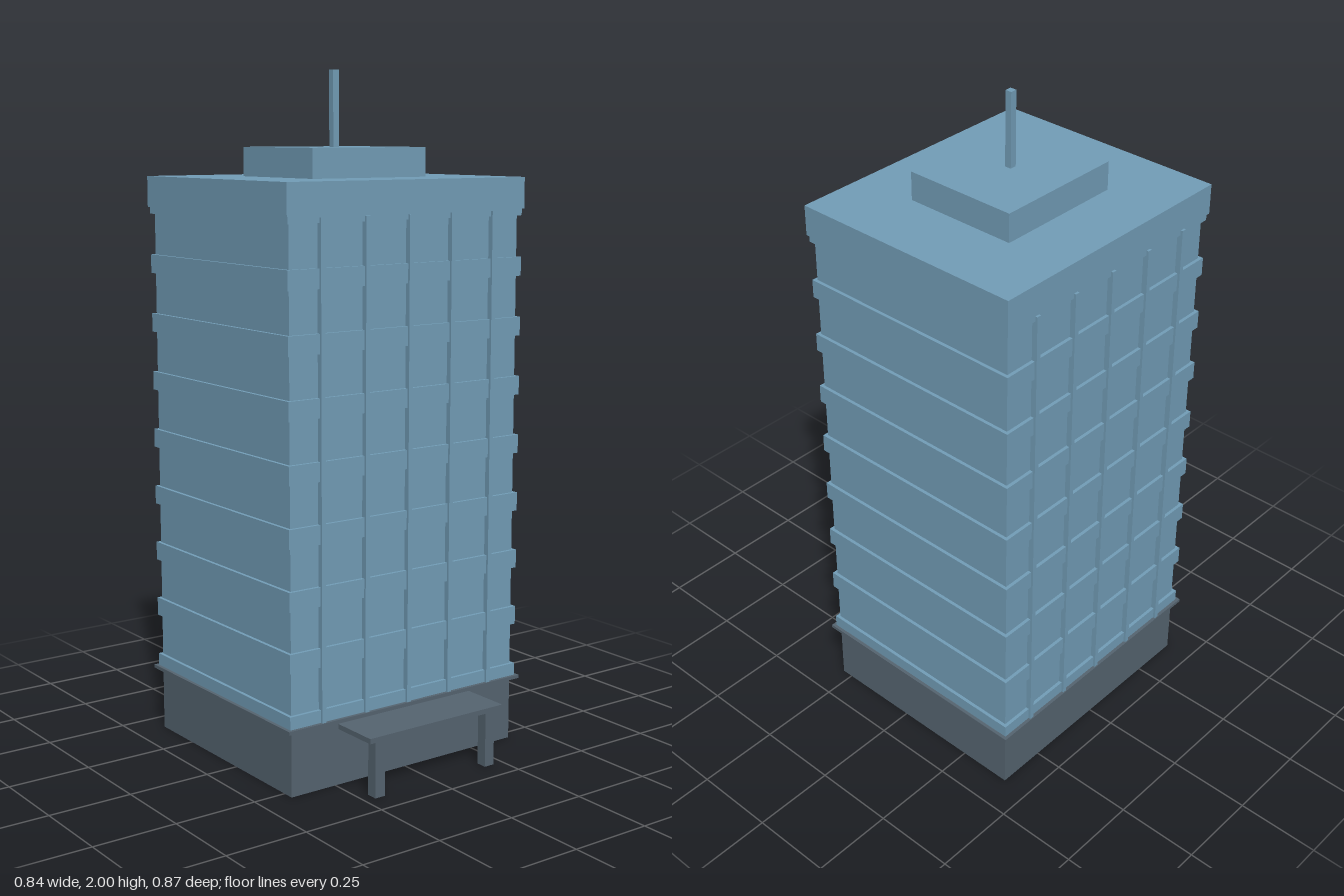
import * as THREE from 'three';

export function createModel() {
  const group = new THREE.Group();
  const blue = new THREE.MeshStandardMaterial({ color: 0x739eb8 });
  const slate = new THREE.MeshStandardMaterial({ color: 0x566571 });
  const CZ = -0.065; // tower axis, set back behind the entrance canopy

  // Box given by its size, its bottom height and its plan centre
  function block(name, material, [w, h, d], bottom, x = 0, z = CZ) {
    const mesh = new THREE.Mesh(new THREE.BoxGeometry(w, h, d), material);
    mesh.name = name;
    mesh.position.set(x, bottom + h / 2, z);
    group.add(mesh);
  }

  // Ground floor with a thin ledge on top
  block('groundFloor', slate, [0.8, 0.19, 0.7], 0);
  block('ledge', slate, [0.84, 0.01, 0.74], 0.19);

  // Tower shaft
  block('towerBody', blue, [0.8, 1.41, 0.7], 0.2);

  // Floor bands wrapping the tower
  block('floorBand', blue, [0.82, 0.037, 0.72], 0.2);
  for (let i = 1; i <= 8; i++) {
    block('floorBand', blue, [0.82, 0.055, 0.72], 0.185 + i * 0.175);
  }

  // Vertical mullions on the front and back
  for (const side of [1, -1]) {
    for (let i = -2; i <= 2; i++) {
      block('mullion', blue, [0.014, 1.4, 0.018], 0.2, i * 0.15, CZ + side * 0.358);
    }
  }

  // Roof slab, plant room and mast
  block('roofSlab', blue, [0.83, 0.09, 0.73], 1.605);
  block('plantRoom', blue, [0.4, 0.085, 0.35], 1.695);
  block('mast', blue, [0.02, 0.22, 0.02], 1.78);

  // Entrance canopy on two posts
  block('canopy', slate, [0.48, 0.015, 0.15], 0.165, 0, 0.36);
  for (const side of [1, -1]) {
    block('canopyPost', slate, [0.033, 0.165, 0.033], 0, side * 0.2, 0.411);
  }

  return group;
}
